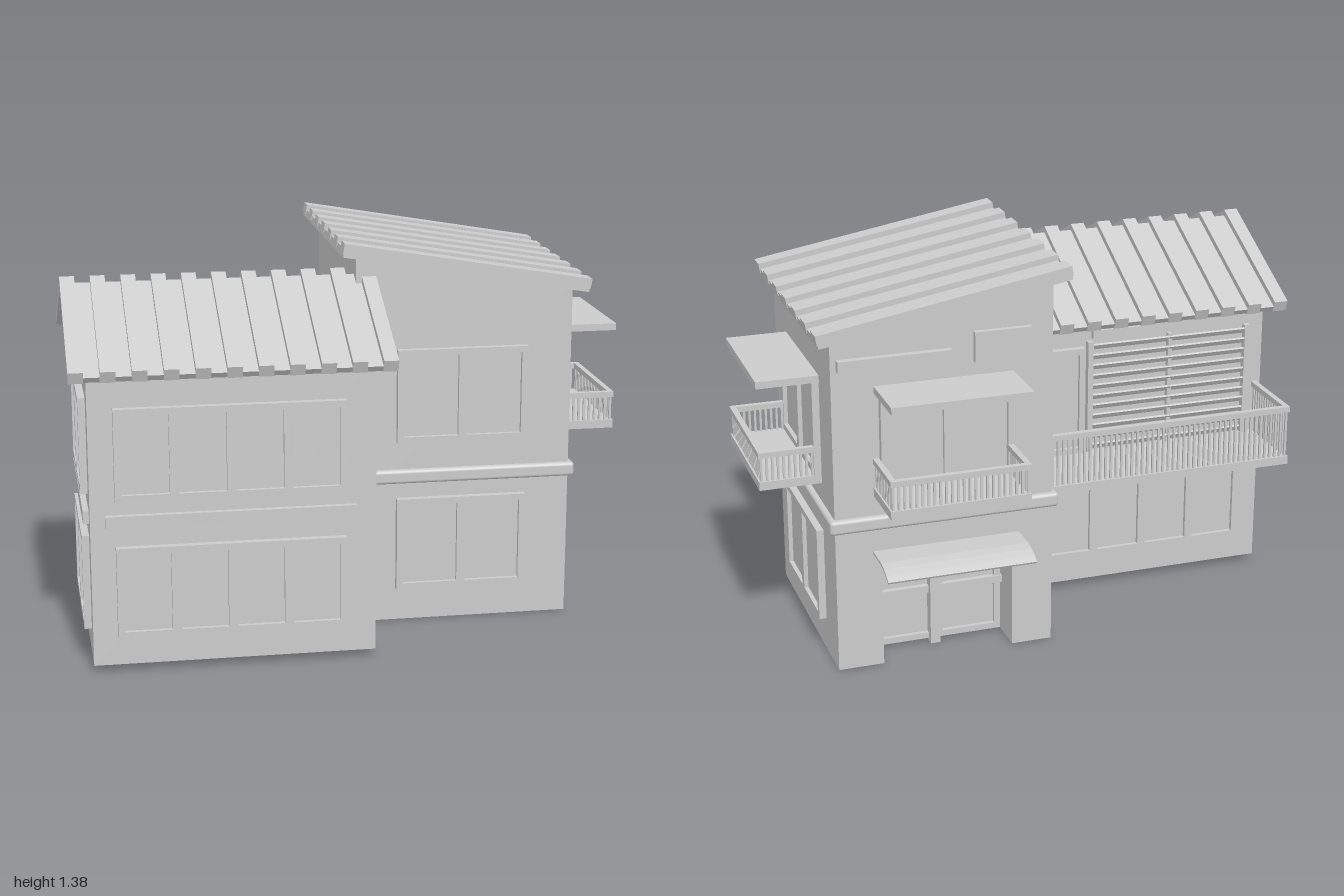
import * as THREE from 'three';
import { mergeGeometries } from 'three/addons/utils/BufferGeometryUtils.js';
import { RoundedBoxGeometry } from 'three/addons/geometries/RoundedBoxGeometry.js';

const mat = new THREE.MeshStandardMaterial({ color: 0xcccccc });
const BACK = Math.PI, RIGHT = Math.PI / 2, LEFT = -Math.PI / 2;

// Box given by its min and max on each axis
function block(x0, x1, y0, y1, z0, z1) {
  return new THREE.BoxGeometry(x1 - x0, y1 - y0, z1 - z0)
    .translate((x0 + x1) / 2, (y0 + y1) / 2, (z0 + z1) / 2);
}

function polygon(points) {
  return new THREE.Shape(points.map(([x, y]) => new THREE.Vector2(x, y)));
}

function extrude(shape, depth) {
  return new THREE.ExtrudeGeometry(shape, { depth, bevelEnabled: false });
}

function rectPath(x0, x1, y0, y1) {
  return polygon([[x0, y0], [x1, y0], [x1, y1], [x0, y1]]);
}

export function createModel() {
  const house = new THREE.Group();
  house.name = 'house';

  function add(name, geometry, x = 0, y = 0, z = 0, turn = 0) {
    const mesh = new THREE.Mesh(geometry, mat);
    mesh.name = name;
    mesh.position.set(x, y, z);
    mesh.rotation.y = turn;
    house.add(mesh);
    return mesh;
  }

  // Framed window: built facing +z, base centre at the origin
  function addWindow(name, w, h, count, x, y, z, turn = 0) {
    const rim = 0.022, bar = 0.03;
    const pane = (w - 2 * rim - (count - 1) * bar) / count;
    const frame = rectPath(-w / 2, w / 2, 0, h);
    const parts = [];
    for (let i = 0; i < count; i++) {
      const x0 = -w / 2 + rim + i * (pane + bar);
      frame.holes.push(rectPath(x0, x0 + pane, rim, h - rim));
      parts.push(block(x0, x0 + pane, rim, h - rim, 0, 0.01));
    }
    add(name + 'Frame', extrude(frame, 0.025), x, y, z, turn);
    add(name + 'Panes', mergeGeometries(parts), x, y, z, turn);
  }

  // Balcony: built projecting along +z from the wall
  function addBalcony(name, w, d, h, x, y, z, turn) {
    const t = 0.02, gap = 0.02, bal = 0.008;
    const slab = block(-w / 2, w / 2, 0, 0.03, 0, d);
    const rail = [
      block(-w / 2, w / 2, h - t, h, d - t, d),
      block(-w / 2, -w / 2 + t, h - t, h, 0, d - t),
      block(w / 2 - t, w / 2, h - t, h, 0, d - t),
    ];
    const post = (px, pz) =>
      rail.push(block(px - bal / 2, px + bal / 2, 0.03, h - t, pz - bal / 2, pz + bal / 2));
    const across = Math.round((w - t) / gap), deep = Math.round((d - t / 2) / gap);
    for (let i = 0; i <= across; i++) post(-w / 2 + t / 2 + (i * (w - t)) / across, d - t / 2);
    for (let i = 0; i < deep; i++) {
      const pz = (i + 0.5) * (d - t) / deep;
      post(-w / 2 + t / 2, pz);
      post(w / 2 - t / 2, pz);
    }
    add(name + 'Floor', slab, x, y, z, turn);
    add(name + 'Railing', mergeGeometries(rail), x, y, z, turn);
  }

  // Tall wing: ground floor with an entrance recess, upper floors with sloped top
  const plan = polygon([[0.01, 0.3], [0.01, -0.51], [0.155, -0.51], [0.155, -0.37],
    [0.62, -0.37], [0.62, -0.51], [0.78, -0.51], [0.78, 0.3]]);
  add('tallWingGroundFloor', extrude(plan, 0.42).rotateX(Math.PI / 2), 0, 0.42, 0);
  const upper = polygon([[0.01, 0.42], [0.78, 0.42], [0.78, 1.205], [0.01, 1.335]]);
  add('tallWingUpperFloors', extrude(upper, 0.81), 0, 0, -0.51);
  add('tallWingBand', new RoundedBoxGeometry(0.81, 0.05, 0.85, 2, 0.012), 0.395, 0.535, -0.105);

  // Low wing: gabled body
  const gable = polygon([[-0.14, 0.025], [0.64, 0.025], [0.64, 1.045], [0.25, 1.235], [-0.14, 1.045]]);
  add('lowWingBody', extrude(gable, 0.96).rotateY(-Math.PI / 2), 0.02, 0, 0);

  // Single-pitch roof with battens running down the slope
  const shed = new THREE.Group();
  shed.name = 'tallWingRoof';
  shed.position.set(0.4, 1.305, -0.107);
  shed.rotation.z = -Math.atan2(0.15, 0.875);
  house.add(shed);
  const battens = [];
  for (let i = 0; i < 7; i++) {
    const z = -0.4525 + i * 0.14;
    battens.push(block(-0.444, 0.444, -0.035, 0, z, z + 0.065));
  }
  shed.add(new THREE.Mesh(block(-0.441, 0.441, -0.048, -0.02, -0.45, 0.45), mat),
    new THREE.Mesh(mergeGeometries(battens), mat));
  shed.children.forEach((m, i) => { m.name = ['roofSlab', 'roofBattens'][i]; });

  // Gable roof: two mirrored slopes meeting at the ridge z = 0.25
  const slope = (top, thick, run) => polygon([[0, top], [run, top - run * 0.48],
    [run - 0.015, top - run * 0.48 - thick + 0.006], [0, top - thick]]);
  for (const [side, turn] of [['front', -Math.PI / 2], ['back', Math.PI / 2]]) {
    const place = (shape, x0, x1) =>
      extrude(shape, x1 - x0).rotateY(turn).translate(turn < 0 ? x1 : x0, 0, 0.25);
    add(side + 'GableRoofSlab', place(slope(1.257, 0.025, 0.46), -0.995, 0.075));
    const strips = [];
    for (let i = 0; i < 11; i++) {
      const x = -1 + i * 0.103;
      strips.push(place(slope(1.28, 0.045, 0.468), x, x + 0.05));
    }
    add(side + 'GableRoofBattens', mergeGeometries(strips));
  }

  // Windows on both floors
  for (const y of [0.125, 0.6]) {
    addWindow('lowWingFrontWindow', 0.775, 0.315, 4, -0.47, y, 0.64);
    addWindow('lowWingSideWindow', 0.5, 0.33, 2, -0.94, y, 0.3, LEFT);
  }
  addWindow('lowWingBackWindow', 0.775, 0.315, 4, -0.47, 0.125, -0.14, BACK);
  for (const y of [0.12, 0.66]) {
    addWindow('tallWingFrontWindow', 0.465, 0.335, 2, 0.387, y, 0.3);
    addWindow('tallWingSideWindow', 0.475, 0.335, 2, 0.78, y, -0.108, RIGHT);
  }
  addWindow('tallWingBackWindow', 0.465, 0.335, 2, 0.387, 0.66, -0.51, BACK);

  // Ledges on the low wing
  add('frontLedge', block(-0.89, -0.05, 0.505, 0.55, 0.63, 0.66));
  add('sideLedge', block(-0.96, -0.93, 0.505, 0.55, -0.07, 0.58));
  add('gableBoard', block(-0.96, -0.93, 1.03, 1.07, 0.03, 0.47));

  // Balconies and their canopies
  addBalcony('sideBalcony', 0.475, 0.215, 0.135, 0.78, 0.63, -0.108, RIGHT);
  addBalcony('backBalcony', 0.485, 0.215, 0.135, 0.4, 0.63, -0.51, BACK);
  addBalcony('longBalcony', 0.93, 0.29, 0.22, -0.46, 0.51, -0.14, BACK);
  add('sideCanopy', block(0.78, 0.995, 0.995, 1.02, -0.35, 0.13));
  add('backCanopy', block(0.15, 0.635, 0.995, 1.02, -0.725, -0.51));

  // Long balcony doorway and louvred screen
  addWindow('balconyDoor', 0.16, 0.4, 1, -0.16, 0.54, -0.14, BACK);
  const louvre = [block(-0.88, -0.86, 0.54, 0.96, -0.165, -0.14), block(-0.27, -0.25, 0.54, 0.96, -0.165, -0.14),
    block(-0.575, -0.56, 0.54, 0.96, -0.16, -0.14)];
  for (let i = 0; i < 11; i++) {
    louvre.push(new THREE.BoxGeometry(0.61, 0.022, 0.008).rotateX(-0.6)
      .translate(-0.565, 0.56 + i * 0.038, -0.155));
  }
  add('louvreScreen', mergeGeometries(louvre));
  add('louvreHeadBoard', block(-0.45, -0.27, 0.97, 1.0, -0.16, -0.14));

  // Back wall fittings under the tall roof
  add('backVentStrip', block(0.37, 0.76, 1.085, 1.125, -0.535, -0.505));
  add('backWallBox', block(0.09, 0.29, 1.07, 1.175, -0.53, -0.505));

  // Entrance: leaves, cross rails and centre post in the recess
  addWindow('entranceDoors', 0.455, 0.4, 2, 0.388, 0.01, -0.37, BACK);
  add('entranceCentrePost', block(0.39, 0.425, 0, 0.42, -0.42, -0.37));
  add('entranceRail', block(0.155, 0.62, 0.19, 0.215, -0.4, -0.37));

  // Curved awning over the entrance
  const awning = polygon([[-0.5, 0.428], [-0.61, 0.428], [-0.645, 0.422], [-0.675, 0.41], [-0.7, 0.396],
    [-0.696, 0.389], [-0.67, 0.402], [-0.642, 0.414], [-0.61, 0.42], [-0.5, 0.42]]);
  add('entranceAwning', extrude(awning, 0.52).rotateY(-Math.PI / 2), 0.65, 0, 0);

  return house;
}
